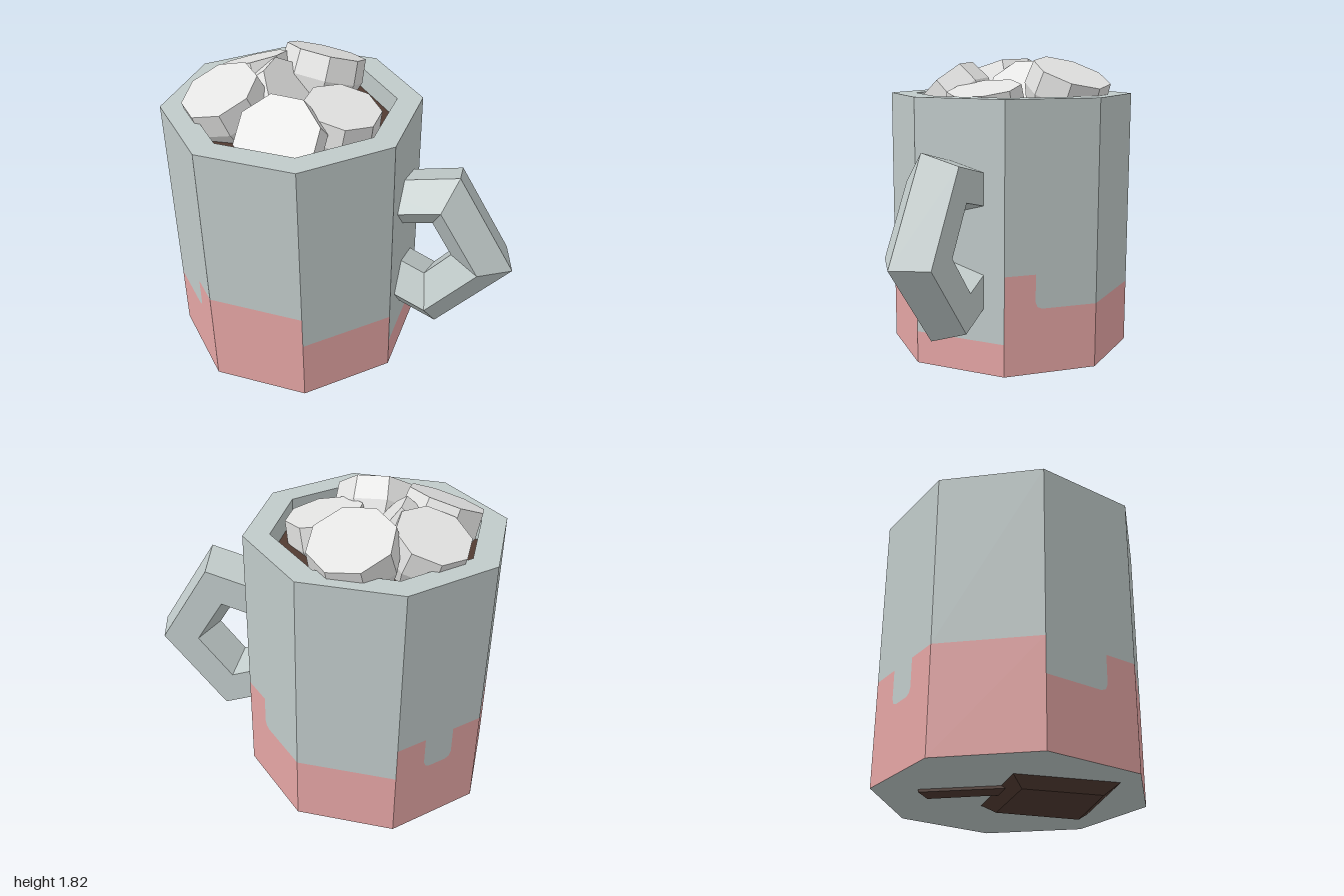
import * as THREE from 'three';
import { mergeGeometries } from 'three/addons/utils/BufferGeometryUtils.js';
import { ConvexGeometry } from 'three/addons/geometries/ConvexGeometry.js';

const SIDES = 8, APOTHEM = 0.675, CUP_X = -0.325;
const BASE = 0.05, RIM = 1.6, DRINK = 1.47;
const corner = (a) => a / Math.cos(Math.PI / SIDES); // corner radius from flat-side radius

function flat(name, hex) {
  const m = new THREE.MeshStandardMaterial({ color: hex, flatShading: true });
  m.name = name;
  return m;
}

function add(parent, name, geometry, material) {
  const mesh = new THREE.Mesh(geometry, material);
  mesh.name = name;
  parent.add(mesh);
  return mesh;
}

// Eight-sided lathe with a flat side facing the front
function octLathe(points) {
  return new THREE.LatheGeometry(points.map(([r, y]) => new THREE.Vector2(r, y)), SIDES, Math.PI / SIDES);
}

// Upper edge of the glaze on one wall, from its height over each third
function glazeEdge(levels) {
  const half = APOTHEM * Math.tan(Math.PI / SIDES), r = 0.04;
  const pts = [[-half, levels[0]]];
  for (let k = 1; k < 3; k++) {
    const x = -half + (2 * half * k) / 3, p = levels[k - 1], c = levels[k];
    if (p > c) pts.push([x, p], [x, c + r], [x + 0.3 * r, c + 0.3 * r], [x + r, c]);
    if (p < c) pts.push([x - r, p], [x - 0.3 * r, p + 0.3 * r], [x, p + r], [x, c]);
  }
  pts.push([half, levels[2]]);
  return pts;
}

// Flat wall panel between the glaze edge and a horizontal line at y
function panel(edge, y, side) {
  const end = edge[edge.length - 1][0];
  const outline = [...edge, [end, y], [-end, y]].map(([u, v]) => new THREE.Vector2(u, v));
  return new THREE.ShapeGeometry(new THREE.Shape(outline))
    .translate(0, 0, APOTHEM)
    .rotateY((side * Math.PI * 2) / SIDES);
}

export function createModel() {
  const grey = flat('grey ceramic', 0xc0cac9);
  const pink = flat('pink glaze', 0xe4a5a4);
  const brown = flat('dark brown', 0x513b32);
  const white = flat('marshmallow white', 0xe3e3e2);

  const model = new THREE.Group();
  model.name = 'mug';
  const cup = new THREE.Group();
  cup.name = 'cup';
  cup.position.x = CUP_X;
  model.add(cup);

  // Walls, counted from the front towards +x, split at the stepped glaze line
  const L = 0.43, H = 0.63, T = 0.24;
  const glaze = [
    [H, H, H], [L, L, L], [T, T, T], [H, L, L],
    [L, L, L], [H, L, H], [H, H, H], [L, L, H],
  ].map(glazeEdge);
  add(cup, 'upperWalls', mergeGeometries(glaze.map((e, i) => panel(e, RIM, i))), grey);
  add(cup, 'glazedWalls', mergeGeometries(glaze.map((e, i) => panel(e, BASE, i))), pink);

  // Rim with inner wall, underside and drink
  const outer = corner(APOTHEM), inner = corner(0.54);
  add(cup, 'rim', octLathe([[outer, RIM], [inner, RIM], [inner, DRINK - 0.02]]), grey);
  add(cup, 'underside', octLathe([[0, BASE], [outer, BASE]]), grey);
  add(cup, 'drink', octLathe([[inner, DRINK], [0, DRINK]]), brown);

  // Handle: four straight pieces of a five-sided ring with a five-sided section
  const section = [];
  for (let i = 0; i <= 5; i++) {
    const a = Math.PI / 2 + (i * Math.PI * 2) / 5;
    section.push(new THREE.Vector2(0.376 + 0.188 * Math.cos(a), 0.188 * Math.sin(a)));
  }
  const ring = new THREE.LatheGeometry(section, 4, THREE.MathUtils.degToRad(-58.6), Math.PI * 1.6);
  add(model, 'handle', ring.rotateX(Math.PI / 2), grey).position.set(0.446, 0.82, 0);

  // Bevelled foot under the base, with a shallow tab
  const footOutline = [[0.055, 0.345], [-0.215, -0.19], [-0.715, 0.075], [-0.488, 0.57]];
  const footPoints = [];
  for (const [x, z] of footOutline) {
    footPoints.push(new THREE.Vector3(x, BASE, z));
    footPoints.push(new THREE.Vector3(-0.33 + (x + 0.33) * 0.77, 0, 0.19 + (z - 0.19) * 0.77));
  }
  add(model, 'foot', new ConvexGeometry(footPoints), brown);
  const tabPoints = [];
  for (const [x, z] of [[-0.43, 0], [-0.43, -0.425], [-0.55, -0.44], [-0.54, 0.02]]) {
    for (const y of [0.035, BASE]) tabPoints.push(new THREE.Vector3(x, y, z));
  }
  add(model, 'footTab', new ConvexGeometry(tabPoints), brown);

  // Marshmallows: centre of the top face, its direction, radius
  const marshmallows = [
    [[-0.27, 1.73, -0.42], [0.12, 0.92, -0.36], 0.235],
    [[-0.66, 1.71, -0.23], [-0.3, 0.92, -0.22], 0.21],
    [[-0.67, 1.72, 0.2], [-0.25, 0.92, 0.3], 0.225],
    [[-0.25, 1.63, 0.42], [0.05, 0.72, 0.69], 0.235],
    [[-0.34, 1.64, -0.05], [0.75, 0.66, 0.05], 0.215],
    [[-0.02, 1.64, 0.03], [0.2, 0.97, 0.03], 0.22],
  ];
  const up = new THREE.Vector3(0, 1, 0);
  for (const [centre, direction, r] of marshmallows) {
    const puff = octLathe([[0, -0.26], [r * 0.85, -0.26], [r * 1.05, -0.14], [r, 0], [0, 0]]);
    const mesh = add(model, 'marshmallow', puff, white);
    mesh.position.set(...centre);
    mesh.quaternion.setFromUnitVectors(up, new THREE.Vector3(...direction).normalize());
  }
  return model;
}
